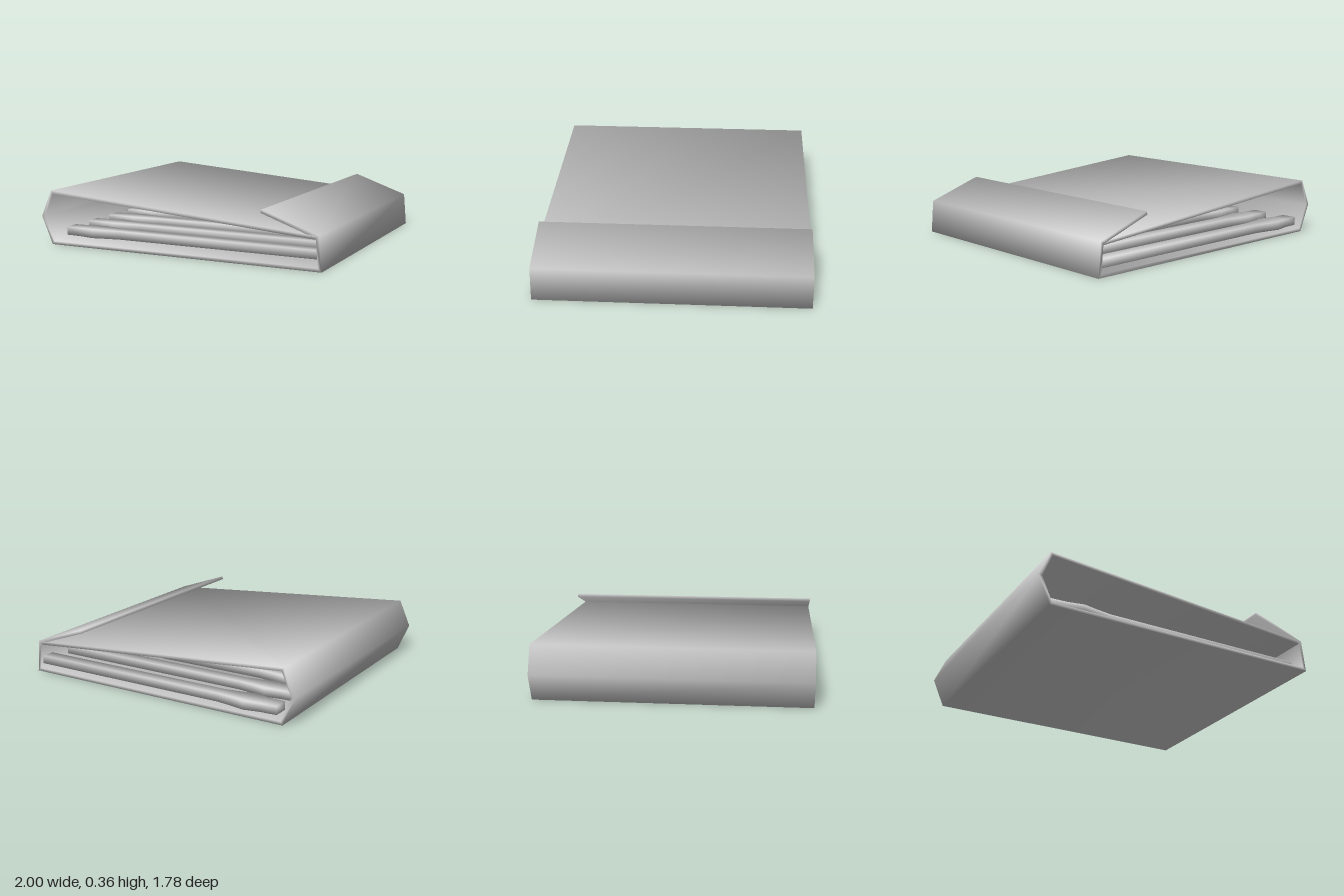
import * as THREE from 'three';
import { mergeVertices } from 'three/addons/utils/BufferGeometryUtils.js';

const material = new THREE.MeshStandardMaterial({ color: 0xcccccc, side: THREE.DoubleSide });

// Weld the corners and blend the normals of all faces meeting there, weighted by corner angle
function smoothAll(source) {
  source.deleteAttribute('normal');
  source.deleteAttribute('uv');
  source.clearGroups();
  const geometry = mergeVertices(source, 1e-4);
  const position = geometry.attributes.position;
  const index = geometry.index;
  const normals = Array.from({ length: position.count }, () => new THREE.Vector3());
  const face = new THREE.Vector3();
  for (let i = 0; i < index.count; i += 3) {
    const ids = [0, 1, 2].map((k) => index.getX(i + k));
    const corners = ids.map((id) => new THREE.Vector3().fromBufferAttribute(position, id));
    THREE.Triangle.getNormal(...corners, face);
    ids.forEach((id, k) => {
      const toNext = corners[(k + 1) % 3].clone().sub(corners[k]);
      const toLast = corners[(k + 2) % 3].clone().sub(corners[k]);
      normals[id].addScaledVector(face, toNext.angleTo(toLast));
    });
  }
  const values = normals.flatMap((n) => n.normalize().toArray());
  geometry.setAttribute('normal', new THREE.Float32BufferAttribute(values, 3));
  return geometry;
}

// Closed outline of a sheet of even thickness following a folded centre line, mitred at the folds
function foldedSheet(points, thickness) {
  const p = points.map(([x, y]) => new THREE.Vector2(x, y));
  const normal = (a, b) => new THREE.Vector2(a.y - b.y, b.x - a.x).normalize();
  const offsets = p.map((q, i) => {
    const before = i > 0 ? normal(p[i - 1], q) : normal(q, p[i + 1]);
    const after = i < p.length - 1 ? normal(q, p[i + 1]) : before;
    const mitre = before.clone().add(after).normalize();
    return mitre.multiplyScalar(thickness / 2 / mitre.dot(before));
  });
  const one = p.map((q, i) => q.clone().add(offsets[i]));
  const other = p.map((q, i) => q.clone().sub(offsets[i])).reverse();
  return new THREE.Shape([...one, ...other]);
}

function createCover() {
  // Loose flap, striker edge, base, folded spine, sloping lid tucked under the flap
  const fold = [
    [0.605, 0.338], [0.968, 0.209], [0.986, 0.011], [-0.912, 0.011],
    [-0.988, 0.185], [-0.915, 0.351], [0.955, 0.205],
  ];
  const geometry = new THREE.ExtrudeGeometry(foldedSheet(fold, 0.022), { depth: 1.772, bevelEnabled: false });
  geometry.translate(0, 0, -0.88);
  const cover = new THREE.Mesh(smoothAll(geometry), material);
  cover.name = 'foldedCover';
  return cover;
}

// Flat stick with a swollen, blunt head, drawn in plan and given its thickness
function matchGeometry() {
  const side = [[-0.87, 0.052], [-0.76, 0.058], [-0.65, 0.08], [-0.56, 0.062], [-0.45, 0.045], [0.97, 0.045]];
  const outline = [
    ...side.map(([x, z]) => new THREE.Vector2(x, -z)),
    ...side.map(([x, z]) => new THREE.Vector2(x, z)).reverse(),
  ];
  const geometry = new THREE.ExtrudeGeometry(new THREE.Shape(outline), { depth: 0.055, bevelEnabled: false });
  geometry.rotateX(-Math.PI / 2);
  geometry.translate(0, 0.051, 0);
  return smoothAll(geometry);
}

function createMatches() {
  const row = new THREE.Group();
  row.name = 'matchRow';
  const geometry = matchGeometry();
  const count = 7;
  for (let i = 0; i < count; i++) {
    const match = new THREE.Mesh(geometry, material);
    match.name = `match${i + 1}`;
    match.position.z = -0.813 + i * 0.259;
    row.add(match);
  }
  return row;
}

export function createModel() {
  const model = new THREE.Group();
  model.name = 'matchbook';
  model.add(createCover(), createMatches());
  return model;
}
